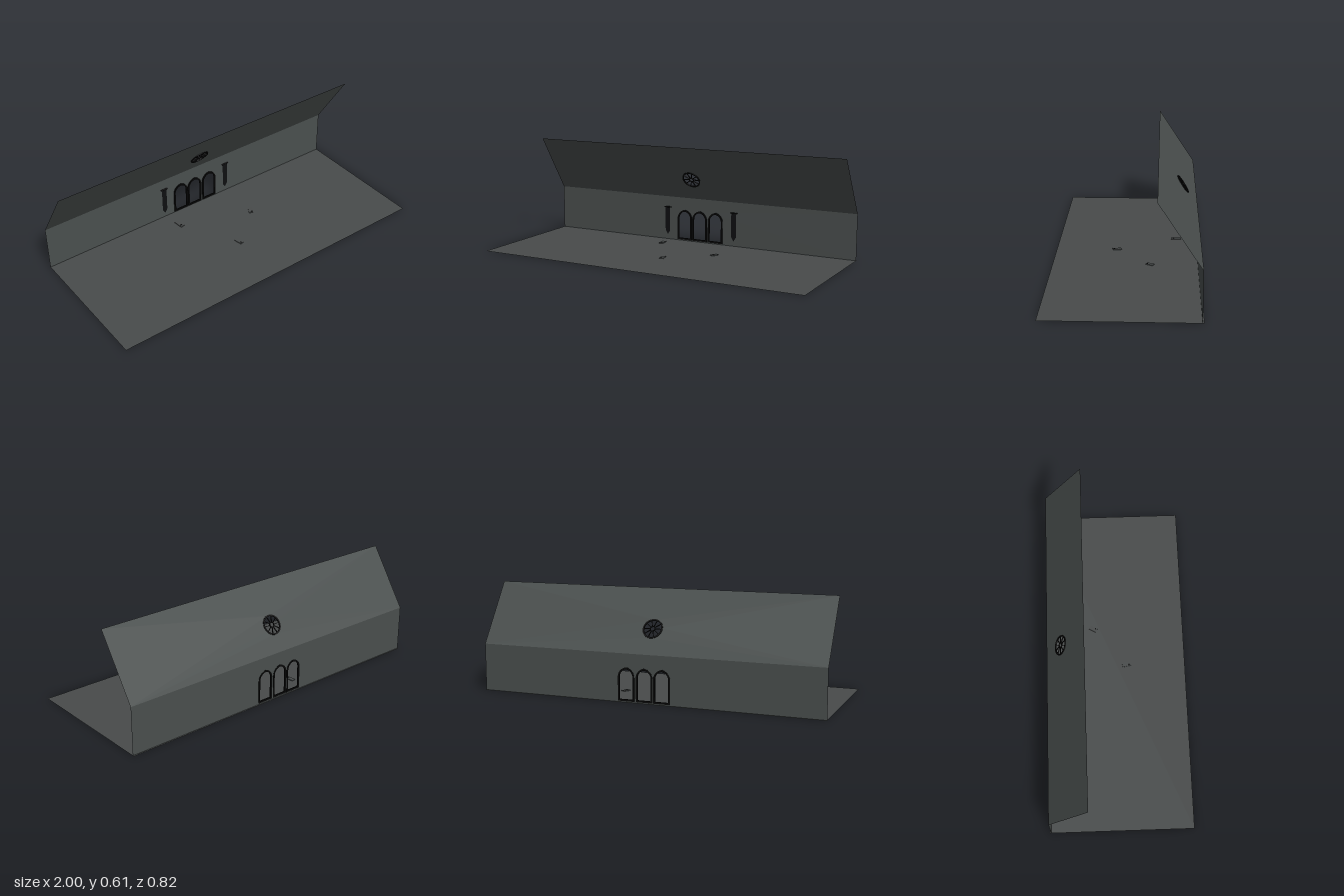
import * as THREE from 'three';

const mat = (name, color, side = THREE.FrontSide) => {
  const m = new THREE.MeshStandardMaterial({ color, side });
  m.name = name;
  return m;
};

export function createModel() {
  const model = new THREE.Group();
  const stone = mat('grey stone', 0x4a4f4e, THREE.DoubleSide);
  const paving = mat('grey paving', 0x484b4b, THREE.DoubleSide);
  const iron = mat('black iron', 0x090909);
  const cloth = mat('dark cloth', 0x0e0f11, THREE.DoubleSide);

  const add = (parent, name, geo, material, x = 0, y = 0, z = 0) => {
    const mesh = new THREE.Mesh(geo, material);
    mesh.name = name;
    mesh.position.set(x, y, z);
    parent.add(mesh);
    return mesh;
  };
  const extrude = (shape, depth) => new THREE.ExtrudeGeometry(shape, { depth, bevelEnabled: false, curveSegments: 16 })
    .translate(0, 0, -depth / 2);
  const rect = (x0, y0, x1, y1) => new THREE.Shape([
    new THREE.Vector2(x0, y0), new THREE.Vector2(x1, y0),
    new THREE.Vector2(x1, y1), new THREE.Vector2(x0, y1)]);

  // Softly pointed arch outline
  const arch = (Type, cx, w, bottom, spring, top) => {
    const p = new Type();
    p.moveTo(cx - w, bottom);
    p.lineTo(cx + w, bottom);
    p.lineTo(cx + w, spring);
    p.bezierCurveTo(cx + w, spring + 0.025, cx + w * 0.55, top - 0.004, cx, top);
    p.bezierCurveTo(cx - w * 0.55, top - 0.004, cx - w, spring + 0.025, cx - w, spring);
    p.closePath();
    return p;
  };

  // Floor
  add(model, 'floor', new THREE.PlaneGeometry(2, 0.824).rotateX(-Math.PI / 2), paving);

  // Back wall with three arched openings
  const eave = 0.27, wallZ = -0.403;
  const windows = [-0.097, 0.005, 0.112];
  const wall = rect(-1, 0, 1, eave);
  for (const x of windows) wall.holes.push(arch(THREE.Path, x, 0.043, 0.012, 0.14, 0.187));
  add(model, 'wall', new THREE.ShapeGeometry(wall, 16), stone, 0, 0, wallZ);

  // Arched window frames
  for (const x of windows) {
    const frame = arch(THREE.Shape, 0, 0.049, 0.006, 0.14, 0.194);
    frame.holes.push(arch(THREE.Path, 0, 0.039, 0.016, 0.14, 0.183));
    add(model, 'windowFrame', extrude(frame, 0.008), iron, x, 0, wallZ + 0.002);
  }

  // Sloping roof with a round opening; its local y runs up the slope
  const rise = 0.34, run = 0.225, slope = Math.hypot(rise, run);
  const roof = new THREE.Group();
  roof.name = 'roof';
  roof.position.set(0, eave, wallZ);
  roof.rotation.x = Math.atan2(run, rise);
  model.add(roof);
  const roseX = -0.01, roseY = 0.156;
  const panel = rect(-1, 0, 1, slope);
  panel.holes.push(new THREE.Path().absarc(roseX, roseY, 0.054, 0, Math.PI * 2));
  add(roof, 'roofPanel', new THREE.ShapeGeometry(panel, 24), stone);

  // Rose window: two rings and spokes
  const rose = new THREE.Group();
  rose.name = 'roseWindow';
  rose.position.set(roseX, roseY, 0);
  roof.add(rose);
  const ring = (name, outer, inner) => {
    const s = new THREE.Shape().absarc(0, 0, outer, 0, Math.PI * 2);
    s.holes.push(new THREE.Path().absarc(0, 0, inner, 0, Math.PI * 2));
    add(rose, name, extrude(s, 0.007), iron);
  };
  ring('outerRing', 0.058, 0.05);
  ring('innerRing', 0.016, 0.012);
  const spokes = 10;
  for (let i = 0; i < spokes; i++) {
    const a = (i / spokes) * Math.PI * 2;
    const spoke = add(rose, 'spoke', new THREE.BoxGeometry(0.038, 0.003, 0.006), iron,
      Math.cos(a) * 0.033, Math.sin(a) * 0.033, 0);
    spoke.rotation.z = a;
  }

  // Hanging banners with pointed ends
  for (const x of [-0.215, 0.235]) {
    const banner = new THREE.Group();
    banner.name = 'banner';
    banner.position.set(x, 0, wallZ + 0.004);
    model.add(banner);
    const flag = new THREE.Shape([[-0.016, 0.203], [-0.016, 0.055], [0, 0.03], [0.016, 0.055], [0.016, 0.203]]
      .map(([px, py]) => new THREE.Vector2(px, py)));
    add(banner, 'flag', new THREE.ShapeGeometry(flag), cloth);
    add(banner, 'rod', new THREE.CylinderGeometry(0.004, 0.004, 0.044, 8).rotateZ(Math.PI / 2), iron, 0, 0.204, 0);
  }

  // Small loose slabs on the floor, each with a dark chip
  for (const [x, z, length, turn] of [[0, 0.06, 0.05, 0.2], [0.235, -0.135, 0.045, -0.5], [-0.19, -0.285, 0.06, 0.1]]) {
    const slab = add(model, 'looseSlab', new THREE.BoxGeometry(0.025, 0.004, length), paving, x, 0.003, z);
    slab.rotation.y = turn;
    add(model, 'chip', new THREE.BoxGeometry(0.009, 0.003, 0.006), iron, x, 0.0055, z + 0.015);
  }

  return model;
}
